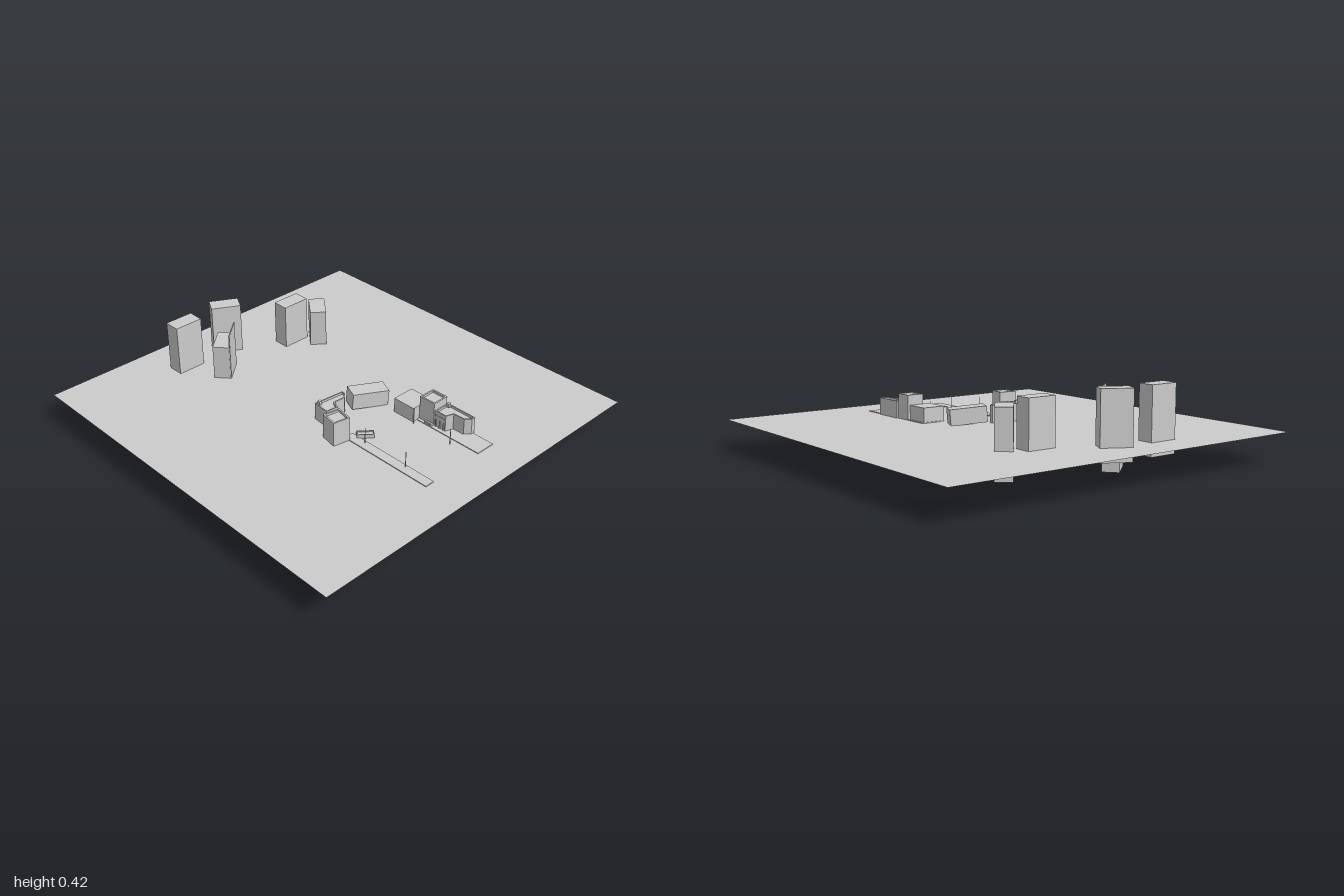
import * as THREE from 'three';

const GROUND = 0.153;
const mat = new THREE.MeshStandardMaterial({ color: 0xcccccc, flatShading: true, side: THREE.DoubleSide });

function add(parent, name, geometry, x = 0, y = 0, z = 0, ry = 0) {
  const mesh = new THREE.Mesh(geometry, mat);
  mesh.name = name;
  mesh.position.set(x, y, z);
  mesh.rotation.y = ry;
  parent.add(mesh);
  return mesh;
}

const box = (w, h, d) => new THREE.BoxGeometry(w, h, d);

// Upright prism from a plan of [x, z] points, optionally hollowed by a second plan
function prism(plan, height, hole) {
  const toVec = (p) => new THREE.Vector2(p[0], p[1]);
  const shape = new THREE.Shape(plan.map(toVec));
  if (hole) shape.holes.push(new THREE.Path(hole.map(toVec)));
  const geo = new THREE.ExtrudeGeometry(shape, { depth: height, bevelEnabled: false });
  return geo.rotateX(Math.PI / 2).translate(0, height, 0);
}

// Solid body with a raised parapet round its flat roof
function parapetBlock(parent, name, plan, inner, height, rim) {
  add(parent, name, prism(plan, height - rim));
  add(parent, name + 'Parapet', prism(plan, rim, inner), 0, height - rim, 0);
}

// Square house with a sunken roof and a row of small benches at the door
function squareHouse() {
  const g = new THREE.Group();
  const square = (r) => [[-r, -r], [r, -r], [r, r], [-r, r]];
  parapetBlock(g, 'houseBody', square(0.046), square(0.038), 0.13, 0.012);
  for (let i = 0; i < 3; i++) add(g, 'doorBench', box(0.012, 0.014, 0.012), 0.007 + i * 0.016, 0.01, 0.054);
  return g;
}

// Stepped house, origin at its back corner, with parapet, chimney and porch
function steppedHouse() {
  const g = new THREE.Group();
  const plan = [[0, 0], [0.17, 0], [0.17, 0.022], [0.145, 0.05], [0.082, 0.053], [0.068, 0.094], [0, 0.094]];
  const inner = [[0.006, 0.006], [0.164, 0.006], [0.164, 0.02], [0.142, 0.044], [0.077, 0.047], [0.063, 0.088], [0.006, 0.088]];
  parapetBlock(g, 'steppedHouseBody', plan, inner, 0.09, 0.012);
  add(g, 'chimney', box(0.016, 0.02, 0.016), 0.017, 0.095, 0.017);
  add(g, 'windowLedge', box(0.062, 0.004, 0.005), 0.034, 0.068, 0.095);
  for (let i = 0; i < 3; i++) add(g, 'porchPost', box(0.005, 0.045, 0.005), 0.01 + i * 0.024, 0.022, 0.096);
  return g;
}

function place(parent, group, name, x, z, ry) {
  group.name = name;
  group.position.set(x, GROUND, z);
  group.rotation.y = ry;
  parent.add(group);
}

export function createModel() {
  const model = new THREE.Group();

  // Ground sheet
  add(model, 'ground', new THREE.PlaneGeometry(2, 2).rotateX(-Math.PI / 2), 0, GROUND, 0);

  // Tower blocks sunk to different depths: x, z, base, turn
  const towers = [
    [-0.505, -0.353, 0.015, 0.89],
    [-0.588, -0.238, 0.055, 0],
    [-0.762, 0.072, 0.085, -0.5],
    [-0.588, 0.226, 0, 0.71],
    [-0.762, 0.34, 0.085, 0],
  ];
  for (const [x, z, base, turn] of towers)
    add(model, 'towerBlock', box(0.085, 0.335, 0.153), x, base + 0.1675, z, turn);

  // Thin slab standing against one tower
  add(model, 'towerPanel', box(0.005, 0.335, 0.148), -0.555, 0.2325, 0.197, 0.71);

  // Long hall, slightly tipped so one end lifts
  const hall = add(model, 'longHall', box(0.089, 0.083, 0.19), 0.142, 0.199, -0.09, -0.41);
  hall.rotation.order = 'YXZ';
  hall.rotation.x = -0.075;

  // Houses
  add(model, 'lowHouse', box(0.127, 0.078, 0.123), 0.347, GROUND + 0.039, -0.195);
  place(model, squareHouse(), 'backSquareHouse', 0.457, -0.223, 0);
  place(model, squareHouse(), 'frontSquareHouse', 0.253, 0.23, 2.95);
  place(model, steppedHouse(), 'backSteppedHouse', 0.505, -0.277, 0);
  place(model, steppedHouse(), 'frontSteppedHouse', 0.06, 0.19, 1.47);

  // Low basin with a raised rim
  const basin = new THREE.Group();
  const rect = (w, d) => [[-w, -d], [w, -d], [w, d], [-w, d]];
  parapetBlock(basin, 'basinBody', rect(0.042, 0.017), rect(0.038, 0.013), 0.022, 0.006);
  place(model, basin, 'basin', 0.335, 0.118, 0.87);

  // Road strips
  add(model, 'backRoad', box(0.52, 0.008, 0.108), 0.537, GROUND, -0.215);
  add(model, 'frontRoad', box(0.52, 0.008, 0.052), 0.537, GROUND, 0.172);

  // Lamp posts running down through the ground
  for (const [x, z] of [[0.42, -0.127], [0.655, -0.125], [0.375, 0.16], [0.636, 0.16]])
    add(model, 'lampPost', new THREE.CylinderGeometry(0.002, 0.002, 0.165, 6), x, 0.158, z);

  return model;
}
